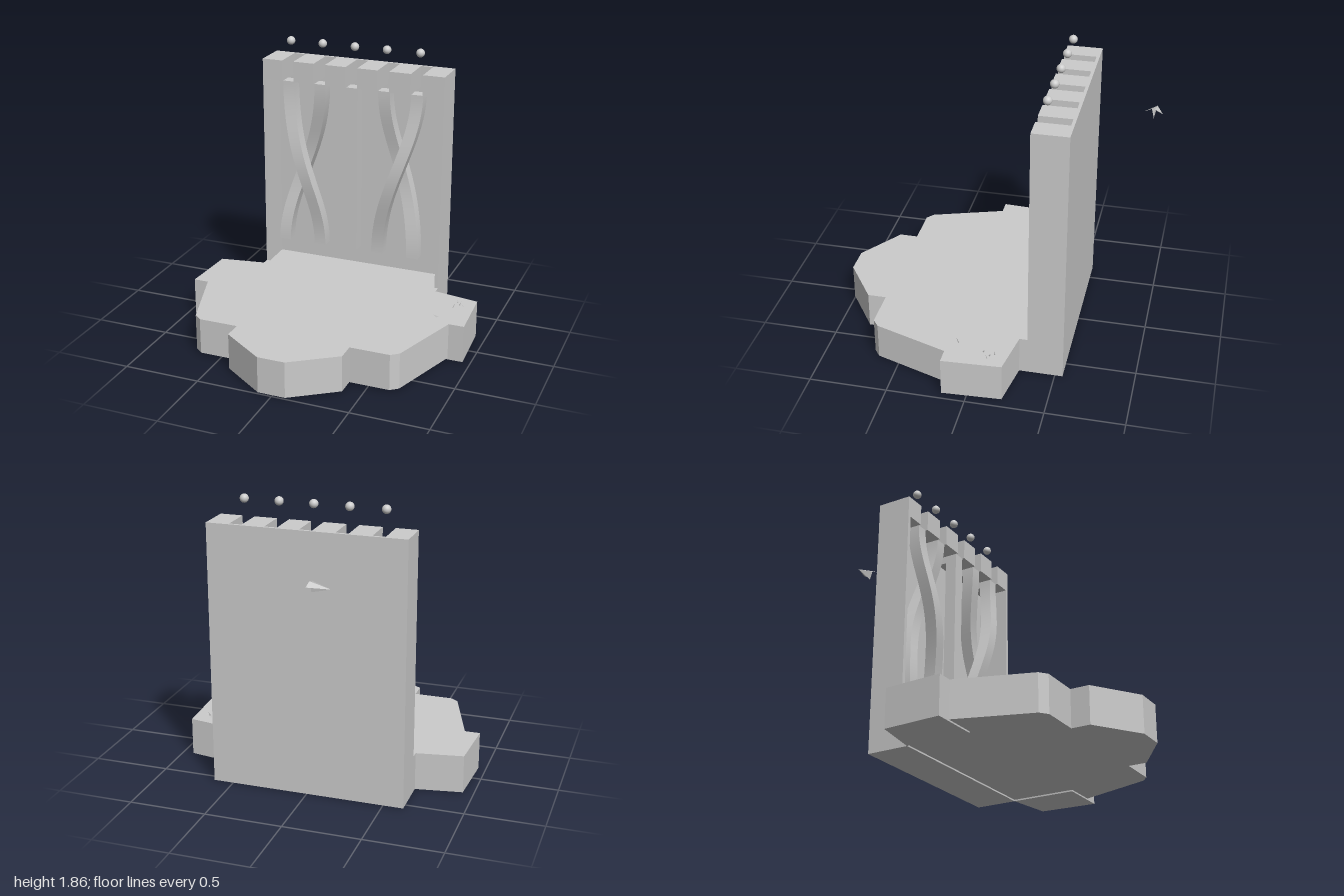
import * as THREE from 'three';
import { toCreasedNormals } from 'three/addons/utils/BufferGeometryUtils.js';

const material = new THREE.MeshStandardMaterial({ color: 0xcccccc });
const thinMaterial = new THREE.MeshStandardMaterial({
  color: 0xcccccc, flatShading: true, side: THREE.DoubleSide,
});

// x positions of the top slots, with a ball floating over each
const slotX = [-0.45, -0.225, 0, 0.22, 0.445];
const BACK = -0.55, RECESS = -0.53, FRONT = -0.32, HALF = 0.63;

function part(name, geometry, mat = material) {
  const mesh = new THREE.Mesh(geometry, mat);
  mesh.name = name;
  return mesh;
}

// Upright prism from a plan outline of [x, z] corners
function prism(name, plan, y0, y1) {
  const shape = new THREE.Shape(plan.map(([x, z]) => new THREE.Vector2(x, -z)));
  const geo = new THREE.ExtrudeGeometry(shape, { depth: y1 - y0, bevelEnabled: false });
  geo.rotateX(-Math.PI / 2).translate(0, y0, 0);
  return part(name, geo);
}

// Square bar whose cross-sections slide from xTop to xBottom while bulging in z
function strand(name, xTop, xBottom, bulge) {
  const top = 1.57, bottom = 0.43;
  const geo = new THREE.BoxGeometry(0.08, 1, 0.08, 1, 32, 1);
  const p = geo.attributes.position;
  for (let i = 0; i < p.count; i++) {
    const t = 0.5 - p.getY(i);
    const s = (1 - Math.cos(Math.PI * t)) / 2;
    p.setXYZ(i,
      p.getX(i) + THREE.MathUtils.lerp(xTop, xBottom, s),
      THREE.MathUtils.lerp(top, bottom, t),
      p.getZ(i) - 0.375 + bulge * Math.sin(Math.PI * t) ** 2);
  }
  return part(name, toCreasedNormals(geo, 0.6));
}

// Folded dart: two wings and a two-sided keel
function paperPlane() {
  const nose = [-0.3, 1.5, -0.955];
  const keel = [-0.18, 1.47, -0.945];
  const foldA = [-0.17, 1.535, -0.95], foldB = [-0.175, 1.535, -0.93];
  const tipA = [-0.165, 1.512, -1.0], tipB = [-0.185, 1.505, -0.875];
  const tris = [nose, tipA, foldA, nose, foldA, keel, nose, keel, foldB, nose, foldB, tipB];
  const geo = new THREE.BufferGeometry();
  geo.setAttribute('position', new THREE.Float32BufferAttribute(tris.flat(), 3));
  geo.computeVertexNormals();
  return part('paperPlane', geo, thinMaterial);
}

export function createModel() {
  const model = new THREE.Group();
  model.name = 'wallDisplay';

  // Stepped base, mirrored from its right half
  const half = [[HALF, BACK], [HALF, -0.27], [0.93, -0.22], [0.95, 0.16], [0.85, 0.16],
    [0.69, 0.64], [0.64, 0.68], [0.38, 0.68], [0.38, 0.8], [0.09, 1]];
  const mirrored = half.map(([x, z]) => [-x, z]).reverse();
  model.add(prism('base', [...half, ...mirrored], 0.01, 0.25));

  // Thin feet under the wall and the side wings
  model.add(prism('wallFoot',
    [[-HALF, BACK], [HALF, BACK], [HALF, -0.27], [-HALF, -0.27]], 0, 0.01));
  for (const s of [-1, 1]) {
    model.add(prism('wingFoot',
      [[s * HALF, -0.27], [s * 0.93, -0.22], [s * 0.95, 0.16], [s * HALF, 0.16]], 0, 0.01));
  }

  // Recessed wall: back panel with two narrow cheeks
  const inner = 0.605;
  model.add(prism('wall', [[-HALF, BACK], [HALF, BACK], [HALF, FRONT], [inner, FRONT],
    [inner, RECESS], [-inner, RECESS], [-inner, FRONT], [-HALF, FRONT]], 0.25, 1.57));

  // Slotted top beam
  const comb = [[HALF, BACK], [-HALF, BACK], [-HALF, FRONT]];
  for (const x of slotX) {
    comb.push([x - 0.04, FRONT], [x - 0.04, RECESS], [x + 0.04, RECESS], [x + 0.04, FRONT]);
  }
  comb.push([HALF, FRONT]);
  model.add(prism('slottedBeam', comb, 1.57, 1.71));

  // Crossing strands: outer ones pass in front, inner ones behind
  model.add(
    strand('leftPairFrontStrand', slotX[0], -0.23, 0.065),
    strand('leftPairRearStrand', slotX[1], -0.49, -0.065),
    strand('centreStrand', slotX[2], 0, 0),
    strand('rightPairRearStrand', slotX[3], 0.435, -0.065),
    strand('rightPairFrontStrand', slotX[4], 0.185, 0.065),
  );

  // Floating balls
  const ballGeo = new THREE.SphereGeometry(0.028, 24, 16);
  for (const x of slotX) {
    const ball = part('ball', ballGeo);
    ball.position.set(x, 1.835, -0.383);
    model.add(ball);
  }

  model.add(paperPlane());

  // Small leaning blades on the left wing
  const bladeGeo = new THREE.ConeGeometry(0.006, 0.035, 3).translate(0, 0.0125, 0);
  const blades = [[0.82, -0.155, 0.3, 1], [0.837, -0.125, -0.4, 1], [0.865, -0.115, 0.5, 0.8],
    [0.807, -0.08, -0.4, 1], [0.75, 0.09, 0.7, 1.4]];
  for (const [x, z, lean, size] of blades) {
    const blade = part('grassBlade', bladeGeo, thinMaterial);
    blade.position.set(x, 0.25, z);
    blade.rotation.set(lean, 0, lean * 0.8);
    blade.scale.setScalar(size);
    model.add(blade);
  }

  return model;
}
